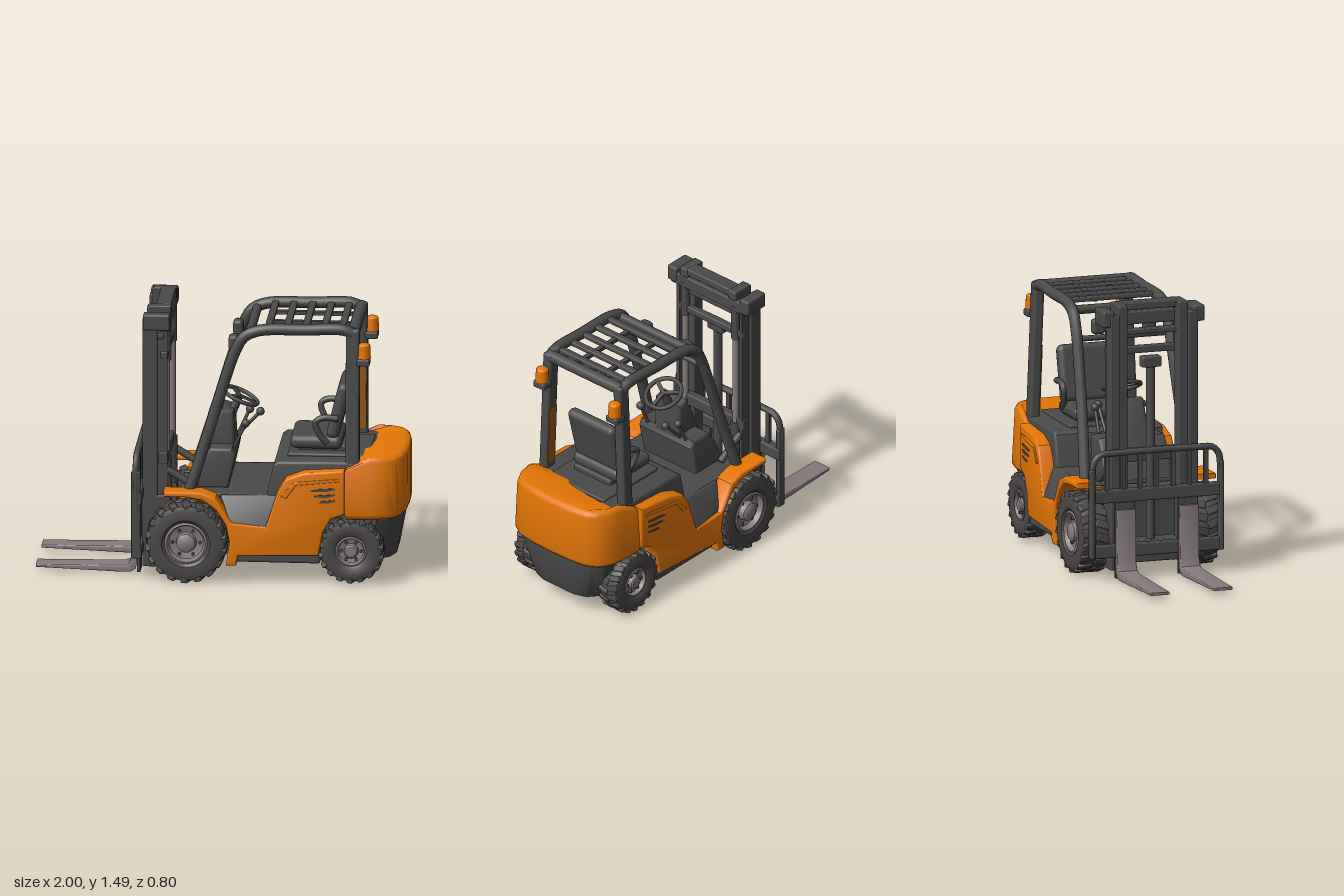
import * as THREE from 'three';
import { toCreasedNormals } from 'three/addons/utils/BufferGeometryUtils.js';
import { RoundedBoxGeometry } from 'three/addons/geometries/RoundedBoxGeometry.js';

const paint = (name, color) => {
  const m = new THREE.MeshStandardMaterial({ color });
  m.name = name;
  return m;
};
const V = (x, y, z) => new THREE.Vector3(x, y, z);

export function createModel() {
  const orange = paint('orange paint', 0xe47605);
  const amber = paint('amber tint', 0x98561a);
  const dark = paint('charcoal', 0x4a4a4a);
  const rubber = paint('rubber', 0x4a4847);
  const steel = paint('steel', 0x877b7c);
  const root = new THREE.Group();
  root.name = 'forklift';

  const add = (name, geo, mat, parent = root) => {
    const m = new THREE.Mesh(geo, mat);
    m.name = name;
    parent.add(m);
    return m;
  };
  // box from its limits, optionally rounded
  const box = (name, mat, x0, x1, y0, y1, z0, z1, r = 0) => {
    const s = [x1 - x0, y1 - y0, z1 - z0];
    const geo = r ? new RoundedBoxGeometry(...s, 2, r) : new THREE.BoxGeometry(...s);
    const m = add(name, geo, mat);
    m.position.set((x0 + x1) / 2, (y0 + y1) / 2, (z0 + z1) / 2);
    return m;
  };
  // extruded outline with a bevel that stays inside the outline
  const extrude = (pts, depth, b) => {
    const shape = new THREE.Shape(pts.map(p => new THREE.Vector2(...p)));
    return new THREE.ExtrudeGeometry(shape, { depth: depth - 2 * b, bevelEnabled: b > 0, bevelSize: b,
      bevelThickness: b, bevelOffset: -b, bevelSegments: 3 }).translate(0, 0, b);
  };
  // move every vertex by a rule
  const reshape = (geo, rule) => {
    const p = geo.attributes.position, v = new THREE.Vector3();
    for (let i = 0; i < p.count; i++) {
      rule(v.fromBufferAttribute(p, i));
      p.setXYZ(i, v.x, v.y, v.z);
    }
    return geo;
  };
  const finish = g => toCreasedNormals(g, 0.6);
  const straight = () => {};
  const narrowing = v => { v.z *= 1 - 0.15 * Math.max(0, v.x - 0.1); };
  const leaning = v => { v.z *= 1 - 1.25 * (v.y - 0.325); };
  // side profile (x, y) extruded from z0 to z1
  const side = (name, mat, pts, z0, z1, b = 0.01, rule = straight) =>
    add(name, finish(reshape(extrude(pts, z1 - z0, b).translate(0, 0, z0), rule)), mat);
  // plan outline (x, z) extruded from y0 to y1
  const plan = (name, mat, pts, y0, y1, b, rule) =>
    add(name, finish(reshape(extrude(pts, y1 - y0, b).rotateX(Math.PI / 2).translate(0, y1, 0), rule)), mat);
  const tube = (name, mat, pts, r, n = 24) =>
    add(name, new THREE.TubeGeometry(new THREE.CatmullRomCurve3(pts, false, 'centripetal'), n, r, 10), mat);
  const rod = (name, mat, a, b, r, r2 = r) => {
    const m = add(name, new THREE.CylinderGeometry(r2, r, a.distanceTo(b), 16), mat);
    m.position.copy(a).lerp(b, 0.5);
    m.quaternion.setFromUnitVectors(V(0, 1, 0), b.clone().sub(a).normalize());
    return m;
  };

  // wheels: lathed tyre, angled lugs, dished rim, hub and bolts
  const wheel = (name, x, y, z, R, w, rim, s) => {
    const g = new THREE.Group();
    g.name = name;
    const h = w / 2, T = R - 0.007;
    const tyre = [[rim, -h * 0.8], [rim + 0.015, -h * 0.95], [T - 0.03, -h], [T - 0.008, -h * 0.88], [T, -h * 0.5],
      [T, h * 0.5], [T - 0.008, h * 0.88], [T - 0.03, h], [rim + 0.015, h * 0.95], [rim, h * 0.8], [rim, -h * 0.8]];
    const lathe = (n, pts, mat) => add(n, finish(new THREE.LatheGeometry(
      pts.map(p => new THREE.Vector2(...p)), 40).rotateX(Math.PI / 2)), mat, g);
    lathe('tyre', tyre, rubber);
    lathe('rim', [[0, -h * 0.7], [rim, -h * 0.7], [rim, h * 0.85], [rim * 0.9, h * 0.9], [rim * 0.8, h * 0.55],
      [rim * 0.48, h * 0.45], [rim * 0.44, h * 0.85], [rim * 0.34, h * 0.95], [0, h * 0.97]], steel);
    for (let i = 0; i < 36; i++) {
      const a = i / 36 * Math.PI * 2, k = i % 2 ? 1 : -1;
      const lug = add('treadLug', new RoundedBoxGeometry(R * 0.19, 0.03, h * 0.98, 1, 0.008), rubber, g);
      lug.rotation.set(0, k * 0.3, a - Math.PI / 2, 'ZYX');
      lug.position.set(Math.cos(a) * (R - 0.016), Math.sin(a) * (R - 0.016), k * h * 0.47);
    }
    for (let i = 0; i < 6; i++) {
      const a = i / 6 * Math.PI * 2;
      const bolt = add('wheelBolt', new THREE.CylinderGeometry(0.009, 0.009, 0.03, 6).rotateX(Math.PI / 2), dark, g);
      bolt.position.set(Math.cos(a) * rim * 0.65, Math.sin(a) * rim * 0.65, h * 0.5);
    }
    g.position.set(x, y, z * s);
    if (s < 0) g.rotation.y = Math.PI;
    root.add(g);
  };

  // chassis, floor and engine hood
  box('underbody', dark, -0.24, 0.86, 0.125, 0.44, -0.22, 0.22);
  box('chassisSill', dark, 0.08, 0.54, 0.12, 0.3, -0.36, 0.36, 0.015);
  box('floorPlate', dark, -0.2, 0.3, 0.465, 0.485, -0.3, 0.3, 0.008);
  side('engineHood', dark, [[0.24, 0.4], [0.25, 0.5], [0.285, 0.655], [0.31, 0.672], [0.8, 0.68], [0.8, 0.4]], -0.31, 0.31, 0.015);
  box('hoodPanel', dark, 0.35, 0.79, 0.665, 0.69, -0.2, 0.2, 0.01);

  // counterweight with a lowered front edge and a tapering skirt below
  const half = [[0.67, 0.355], [0.8, 0.352], [0.88, 0.335], [0.94, 0.3], [0.975, 0.24], [0.992, 0.14], [0.998, 0]];
  const outline = half.concat(half.slice(0, -1).reverse().map(([x, z]) => [x, -z]));
  plan('counterweight', orange, outline, 0.365, 0.712, 0.03, v => {
    const t = (v.y - 0.365) / 0.347;
    v.z *= 1 - 0.06 * t * t;
    if (t > 0.8) v.y -= 0.055 * THREE.MathUtils.clamp((0.8 - v.x) / 0.1, 0, 1);
  });
  const skirt = [[0.84, 0.325], [0.9, 0.31], [0.95, 0.25], [0.975, 0.15], [0.975, -0.15], [0.95, -0.25], [0.9, -0.31], [0.84, -0.325]];
  plan('rearSkirt', dark, skirt, 0.115, 0.37, 0.012, v => {
    const t = (0.37 - v.y) / 0.255;
    v.z *= 1 - 0.3 * t;
    v.x -= 0.045 * t;
  });

  // dashboard, console and steering
  side('dashboard', dark, [[-0.19, 0.48], [-0.13, 0.62], [-0.07, 0.7], [0.05, 0.7], [0.07, 0.66], [0.03, 0.48]], -0.19, 0.19, 0.015);
  side('steeringConsole', dark, [[-0.12, 0.64], [-0.06, 0.8], [-0.01, 0.9], [0.05, 0.88], [0.06, 0.67]], -0.09, 0.09, 0.02);
  rod('steeringColumn', dark, V(0.01, 0.8, 0), V(0.075, 0.94, 0), 0.03, 0.02);
  const steering = new THREE.Group();
  steering.name = 'steeringWheel';
  add('steeringRing', new THREE.TorusGeometry(0.1, 0.012, 8, 32).rotateX(Math.PI / 2), dark, steering);
  for (let i = 0; i < 3; i++) {
    const spoke = add('steeringSpoke', new THREE.BoxGeometry(0.1, 0.012, 0.022).translate(0.05, 0, 0), dark, steering);
    spoke.rotation.y = i * Math.PI * 2 / 3;
  }
  steering.position.set(0.08, 0.945, 0);
  steering.rotation.z = -0.42;
  root.add(steering);
  for (const [x, z] of [[0.12, -0.14], [0.18, -0.1], [0.12, 0.13]]) {
    rod('controlLever', dark, V(0.06, 0.7, z), V(x, 0.83, z), 0.009);
    add('leverKnob', new THREE.SphereGeometry(0.023, 12, 8), dark).position.set(x, 0.83, z);
  }

  // seat
  box('seatBase', dark, 0.4, 0.66, 0.675, 0.72, -0.13, 0.13, 0.01);
  box('seatCushion', dark, 0.36, 0.64, 0.7, 0.775, -0.165, 0.165, 0.033);
  box('seatBackrest', dark, 0.585, 0.655, 0.755, 1.07, -0.165, 0.165, 0.034).rotation.z = -0.24;

  // centre lift cylinder and mast cross members
  rod('centreLiftCylinder', dark, V(-0.36, 0.1, 0), V(-0.36, 1.15, 0), 0.025);
  box('chainHead', dark, -0.39, -0.33, 1.14, 1.2, -0.055, 0.055, 0.01);
  for (const [x0, x1, y0, y1, w] of [[-0.36, -0.28, 1.455, 1.497, 0.155], [-0.33, -0.28, 1.37, 1.44, 0.27],
    [-0.36, -0.31, 1.32, 1.35, 0.24], [-0.33, -0.29, 1.21, 1.25, 0.24], [-0.34, -0.29, 0.62, 0.69, 0.24], [-0.4, -0.3, 0.08, 0.2, 0.24]])
    box('mastCrossMember', dark, x0, x1, y0, y1, -w, w, 0.008);

  // load backrest: rounded hoop, carriage bars and upright slats
  tube('backrestHoop', dark, [V(-0.45, 0.4, -0.365), V(-0.45, 0.6, -0.365), V(-0.45, 0.66, -0.355), V(-0.45, 0.695, -0.32),
    V(-0.45, 0.7, -0.25), V(-0.45, 0.7, 0.25), V(-0.45, 0.695, 0.32), V(-0.45, 0.66, 0.355), V(-0.45, 0.6, 0.365), V(-0.45, 0.4, 0.365)], 0.018, 60);
  box('upperCarriageBar', dark, -0.465, -0.42, 0.43, 0.5, -0.38, 0.38, 0.008);
  box('lowerCarriageBar', dark, -0.465, -0.42, 0.13, 0.2, -0.38, 0.38, 0.008);
  for (let i = -3; i <= 3; i++) box('backrestSlat', dark, -0.46, -0.44, 0.48, 0.7, i * 0.094 - 0.012, i * 0.094 + 0.012);

  // overhead guard cross bars and roof slats
  rod('guardFrontBar', dark, V(0.15, 1.365, -0.26), V(0.15, 1.365, 0.26), 0.025);
  rod('guardRearBar', dark, V(0.71, 1.385, -0.26), V(0.71, 1.385, 0.26), 0.033);
  for (const x of [0.25, 0.35, 0.45, 0.55, 0.645]) box('roofSlat', dark, x - 0.019, x + 0.019, 1.385, 1.412, -0.26, 0.26, 0.008);
  for (const z of [-0.09, 0.09]) box('roofStringer', dark, 0.25, 0.71, 1.38, 1.4, z - 0.013, z + 0.013);
  rod('lampBar', dark, V(0.06, 1.225, -0.26), V(0.06, 1.225, 0.26), 0.016);

  for (const s of [-1, 1]) {
    const sp = (a, b) => s > 0 ? [a, b] : [-b, -a];
    wheel('frontWheel', -0.18, 0.225, 0.317, 0.222, 0.165, 0.115, s);
    wheel('rearWheel', 0.705, 0.192, 0.3, 0.178, 0.13, 0.083, s);

    // orange fender and side panel in one sweep, narrowing toward the rear
    side('sidePanel', orange, [[-0.3, 0.515], [-0.1, 0.515], [-0.02, 0.485], [0.05, 0.365], [0.07, 0.345], [0.25, 0.33],
      [0.31, 0.52], [0.35, 0.59], [0.45, 0.63], [0.67, 0.645], [0.67, 0.4], [0.6, 0.375], [0.555, 0.3], [0.53, 0.17],
      [0.1, 0.165], [0.09, 0.11], [0.035, 0.11], [0.055, 0.24], [0.035, 0.335], [-0.02, 0.42], [-0.09, 0.47], [-0.18, 0.485], [-0.3, 0.485]],
      ...sp(0.29, 0.4), 0.011, narrowing);
    // wheel arch liner
    const arc = r => Array.from({ length: 13 }, (_, i) => {
      const a = -0.3 + i * 0.17;
      return [-0.18 + Math.cos(a) * r, 0.225 + Math.sin(a) * r];
    });
    side('wheelArchLiner', orange, [...arc(0.246), ...arc(0.234).reverse()], ...sp(0.22, 0.32), 0);
    // step face leaning in toward the floor
    side('stepPanel', dark, [[0, 0.48], [0.3, 0.485], [0.25, 0.325], [0.06, 0.335], [0.045, 0.37]], ...sp(0.26, 0.388), 0.004, leaning);

    // vents and body creases
    for (const [y, x] of [[0.538, 0.49], [0.505, 0.5], [0.472, 0.53]])
      side('ventSlit', dark, [[x, y - 0.008], [0.58, y - 0.008], [0.62, y + 0.002], [0.62, y + 0.011], [x + 0.02, y + 0.004]],
        ...sp(0.396, 0.404), 0, narrowing);
    side('upperRidge', orange, [[0.33, 0.5], [0.4, 0.58], [0.64, 0.6], [0.64, 0.585], [0.41, 0.562], [0.36, 0.49]], ...sp(0.37, 0.406), 0.004, narrowing);

    // armrest
    tube('armrest', dark, [V(0.62, 0.88, s * 0.175), V(0.54, 0.885, s * 0.18), V(0.5, 0.86, s * 0.18), V(0.52, 0.79, s * 0.17), V(0.56, 0.74, s * 0.16)], 0.017);

    // overhead guard rail, rear pillar with tinted inner face, and beacon
    tube('guardRail', dark, [V(-0.17, 0.49, s * 0.305), V(-0.07, 0.81, s * 0.282), V(0.03, 1.14, s * 0.268), V(0.075, 1.27, s * 0.264),
      V(0.12, 1.35, s * 0.262), V(0.2, 1.388, s * 0.26), V(0.45, 1.398, s * 0.258), V(0.66, 1.402, s * 0.256), V(0.71, 1.38, s * 0.254)], 0.031, 48);
    const pillar = box('rearPillar', dark, 0.67, 0.745, 0.64, 1.41, s * 0.265 - 0.029, s * 0.265 + 0.029, 0.016);
    pillar.rotation.x = -s * 0.04;
    const tint = new THREE.BoxGeometry(0.058, 0.36, 0.006).translate(0, -0.14, -s * 0.028);
    add('pillarInnerFace', tint, amber, pillar);
    box('beaconBracket', dark, 0.73, 0.8, 1.21, 1.25, s * 0.26 - 0.04, s * 0.26 + 0.04, 0.01);
    rod('beacon', orange, V(0.767, 1.25, s * 0.26), V(0.767, 1.32, s * 0.26), 0.037, 0.034);
    add('beaconCap', new THREE.SphereGeometry(0.034, 16, 6, 0, Math.PI * 2, 0, Math.PI / 2).scale(1, 0.4, 1), orange)
      .position.set(0.767, 1.32, s * 0.26);
    box('headlamp', dark, 0.03, 0.085, 1.245, 1.33, s * 0.145 - 0.037, s * 0.145 + 0.037, 0.02);

    // mast rails, lift pistons and tilt cylinders
    box('outerMastRail', dark, -0.425, -0.345, 0.05, 1.44, ...sp(0.195, 0.25), 0.008);
    box('innerMastRail', dark, -0.405, -0.33, 0.07, 1.49, ...sp(0.145, 0.2), 0.008);
    box('lowerMastBracket', dark, -0.36, -0.275, 0.05, 0.45, ...sp(0.18, 0.25), 0.008);
    box('mastHeadBlock', dark, -0.42, -0.275, 1.38, 1.47, ...sp(0.225, 0.29), 0.012);
    box('mastHeadCap', dark, -0.4, -0.275, 1.44, 1.495, ...sp(0.145, 0.2), 0.008);
    rod('pistonBarrel', dark, V(-0.3, 0.4, s * 0.18), V(-0.3, 0.66, s * 0.18), 0.027);
    rod('liftPiston', steel, V(-0.3, 0.6, s * 0.18), V(-0.3, 1.2, s * 0.18), 0.018);
    rod('pistonHead', dark, V(-0.3, 1.19, s * 0.18), V(-0.3, 1.4, s * 0.18), 0.024);
    box('mastRearFlange', dark, -0.35, -0.29, 0.4, 1.4, ...sp(0.215, 0.235));
    rod('tiltCylinder', dark, V(-0.3, 0.59, s * 0.21), V(-0.14, 0.49, s * 0.21), 0.02);

    // carriage end plates, forks and their dark backing hooks
    box('carriageEndPlate', dark, -0.475, -0.425, 0.13, 0.62, ...sp(0.355, 0.38), 0.008);
    box('forkHook', dark, -0.457, -0.437, 0.014, 0.46, s * 0.18 - 0.056, s * 0.18 + 0.056, 0.004);
    side('fork', steel, [[-1, 0.028], [-0.53, 0.012], [-0.49, 0.014], [-0.465, 0.03], [-0.455, 0.06], [-0.455, 0.39], [-0.474, 0.39],
      [-0.482, 0.1], [-0.5, 0.06], [-0.53, 0.05], [-1, 0.043]], s * 0.18 - 0.055, s * 0.18 + 0.055, 0.005);
  }
  return root;
}
